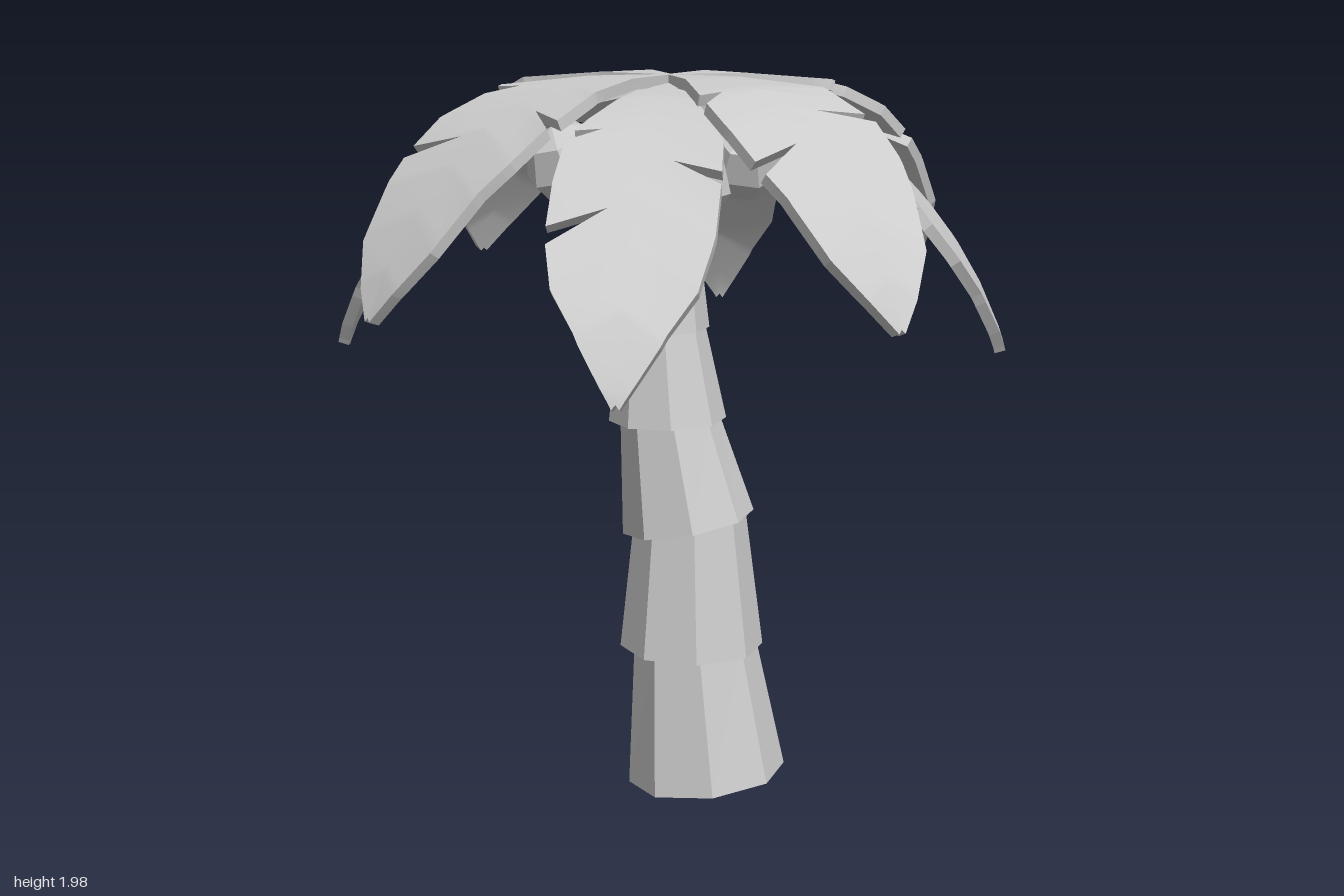
import * as THREE from 'three';

const FLAT = new THREE.MeshStandardMaterial({ color: 0xcccccc, flatShading: true });
const SMOOTH = new THREE.MeshStandardMaterial({ color: 0xcccccc });

// Piecewise-linear lookup in a short list of [position, value]
function lookup(points, x) {
  let i = 1;
  while (i < points.length - 1 && x > points[i][0]) i++;
  const [a, b] = [points[i - 1], points[i]];
  return a[1] + ((b[1] - a[1]) * (x - a[0])) / (b[0] - a[0]);
}

// Trunk sections: bottom and top [x, y, z, radius], with tilt of the bottom ring
const SECTIONS = [
  [[0.11, 0.025, 0.03, 0.22], [0.075, 0.42, 0.02, 0.17], 0.11],
  [[0.065, 0.4, 0.02, 0.2], [0.06, 0.78, 0.015, 0.155], 0],
  [[0.055, 0.755, 0.02, 0.182], [0.005, 1.05, 0.02, 0.138], 0.18],
  [[-0.003, 1.045, 0.02, 0.162], [-0.02, 1.32, 0.015, 0.117], 0.02],
  [[-0.035, 1.3, 0.015, 0.146], [-0.03, 1.55, 0.01, 0.11], 0],
  [[-0.03, 1.53, 0.01, 0.13], [-0.005, 1.77, 0.01, 0.095], -0.1],
  [[-0.005, 1.75, 0.01, 0.115], [0.02, 1.94, 0.01, 0.08], -0.1],
];

function trunkSection([bottom, top, tilt]) {
  const geo = new THREE.CylinderGeometry(top[3], bottom[3], 1, 8, 1, false, 0.2);
  const pos = geo.attributes.position;
  for (let i = 0; i < pos.count; i++) {
    const x = pos.getX(i), z = pos.getZ(i), upper = pos.getY(i) > 0;
    const c = upper ? top : bottom;
    pos.setXYZ(i, c[0] + x, c[1] + (upper ? 0 : tilt * x), c[2] + z);
  }
  geo.computeVertexNormals();
  return new THREE.Mesh(geo, FLAT);
}

// Frond forms: drop is height over reach, width is half width along the midrib
const DROOPING = {
  drop: [[0, 1.965], [0.15, 1.955], [0.3, 1.92], [0.45, 1.85], [0.6, 1.74], [0.74, 1.58], [0.83, 1.45], [0.9, 1.3], [0.92, 1.23]],
  width: [[0, 0.01], [0.2, 0.1], [0.38, 0.2], [0.5, 0.21], [0.62, 0.21], [0.72, 0.18], [0.82, 0.1], [0.88, 0.045], [0.91, 0.01]],
};
const SPREADING = {
  drop: [[0, 1.985], [0.2, 1.985], [0.41, 1.965], [0.6, 1.88], [0.76, 1.75], [0.88, 1.6], [0.95, 1.48], [0.98, 1.4]],
  width: [[0, 0.01], [0.17, 0.09], [0.34, 0.2], [0.5, 0.23], [0.62, 0.22], [0.72, 0.19], [0.83, 0.15], [0.92, 0.07], [0.97, 0.01]],
};
// Slits: position along the midrib, side, and how close the tip gets to the midrib
const SLITS = [[0.35, -1, 0.6], [0.47, 1, 0.4], [0.6, -1, 0.3]];
const SLANT = 0.35, THICKNESS = 0.03;

function frondGeometry({ drop, width }) {
  // Rows along the midrib; each slit adds three rows with the middle one pulled in
  const rows = width.map(([t]) => ({ t }));
  for (let t = 0.1; t < 0.9; t += 0.1) rows.push({ t: t + 0.003 });
  for (const [t, side, depth] of SLITS)
    rows.push({ t }, { t: t + 0.014, side, depth }, { t: t + 0.036 });
  // Drop plain rows that would fall inside a slit
  const kept = rows
    .filter((r) => r.side || !SLITS.some(([t]) => r.t > t + 1e-6 && r.t < t + 0.0359))
    .sort((a, b) => a.t - b.t);

  const top = [], under = [];
  for (const row of kept) {
    for (const side of [1, 0, -1]) {
      const w = lookup(width, row.t) * (row.side === side ? row.depth : 1);
      const u = side * w;
      const v = row.t + SLANT * Math.abs(u);
      const y = lookup(drop, v);
      const m = (lookup(drop, v + 0.02) - lookup(drop, v - 0.02)) / 0.04;
      const k = THICKNESS / Math.hypot(m, 1);
      top.push([u, y, v]);
      under.push([u, y - k, v + m * k]);
    }
  }

  const position = [], index = [];
  const add = (p) => position.push(...p) / 3 - 1;
  const quad = (a, b, c, d) => index.push(a, b, d, b, c, d);
  top.forEach(add);
  under.forEach(add);
  const n = top.length;
  for (let r = 0; r < kept.length - 1; r++) {
    for (let c = 0; c < 2; c++) {
      const a = r * 3 + c, b = a + 1, d = a + 3, e = a + 4;
      quad(a, b, e, d);
      quad(n + a, n + d, n + e, n + b);
    }
  }
  // Rim with its own corners so its edges stay sharp
  const rim = (i, j) => quad(add(top[i]), add(top[j]), add(under[j]), add(under[i]));
  for (let r = 0; r < kept.length - 1; r++) {
    rim(r * 3, r * 3 + 3);
    rim(r * 3 + 5, r * 3 + 2);
  }
  rim(n - 3, n - 2);
  rim(n - 2, n - 1);

  // Turn the faces outward: the upper side must face up
  const [p, q, s] = [0, 1, 2].map((i) => new THREE.Vector3(...top[index[i]]));
  if (q.sub(p).cross(s.sub(p)).y < 0)
    for (let i = 0; i < index.length; i += 3) [index[i], index[i + 1]] = [index[i + 1], index[i]];

  const geo = new THREE.BufferGeometry();
  geo.setAttribute('position', new THREE.Float32BufferAttribute(position, 3));
  geo.setIndex(index);
  geo.computeVertexNormals();
  return geo;
}

export function createModel() {
  const tree = new THREE.Group();
  tree.name = 'palmTree';

  // Stacked, flaring trunk
  const trunk = new THREE.Group();
  trunk.name = 'trunk';
  SECTIONS.forEach((section, i) => {
    const mesh = trunkSection(section);
    mesh.name = `trunkSection${i + 1}`;
    trunk.add(mesh);
  });
  tree.add(trunk);

  // Crown of eight fronds, drooping and spreading in turn
  const crown = new THREE.Group();
  crown.name = 'crown';
  const forms = [DROOPING, SPREADING].map(frondGeometry);
  [0, 43, 92, 138, 178, 225, 276, 318].forEach((degrees, i) => {
    const frond = new THREE.Mesh(forms[i % 2], SMOOTH);
    frond.name = `frond${i + 1}`;
    frond.rotation.y = THREE.MathUtils.degToRad(degrees);
    crown.add(frond);
  });
  tree.add(crown);

  // Coconuts under the crown
  const nut = new THREE.SphereGeometry(0.12, 7, 4);
  [[-0.28, 1.74, 0], [0.18, 1.74, -0.23], [0.08, 1.72, 0.27]].forEach((p, i) => {
    const coconut = new THREE.Mesh(nut, FLAT);
    coconut.name = `coconut${i + 1}`;
    coconut.position.set(...p);
    coconut.rotation.set(0.4, i * 2, 0.3);
    tree.add(coconut);
  });

  return tree;
}
